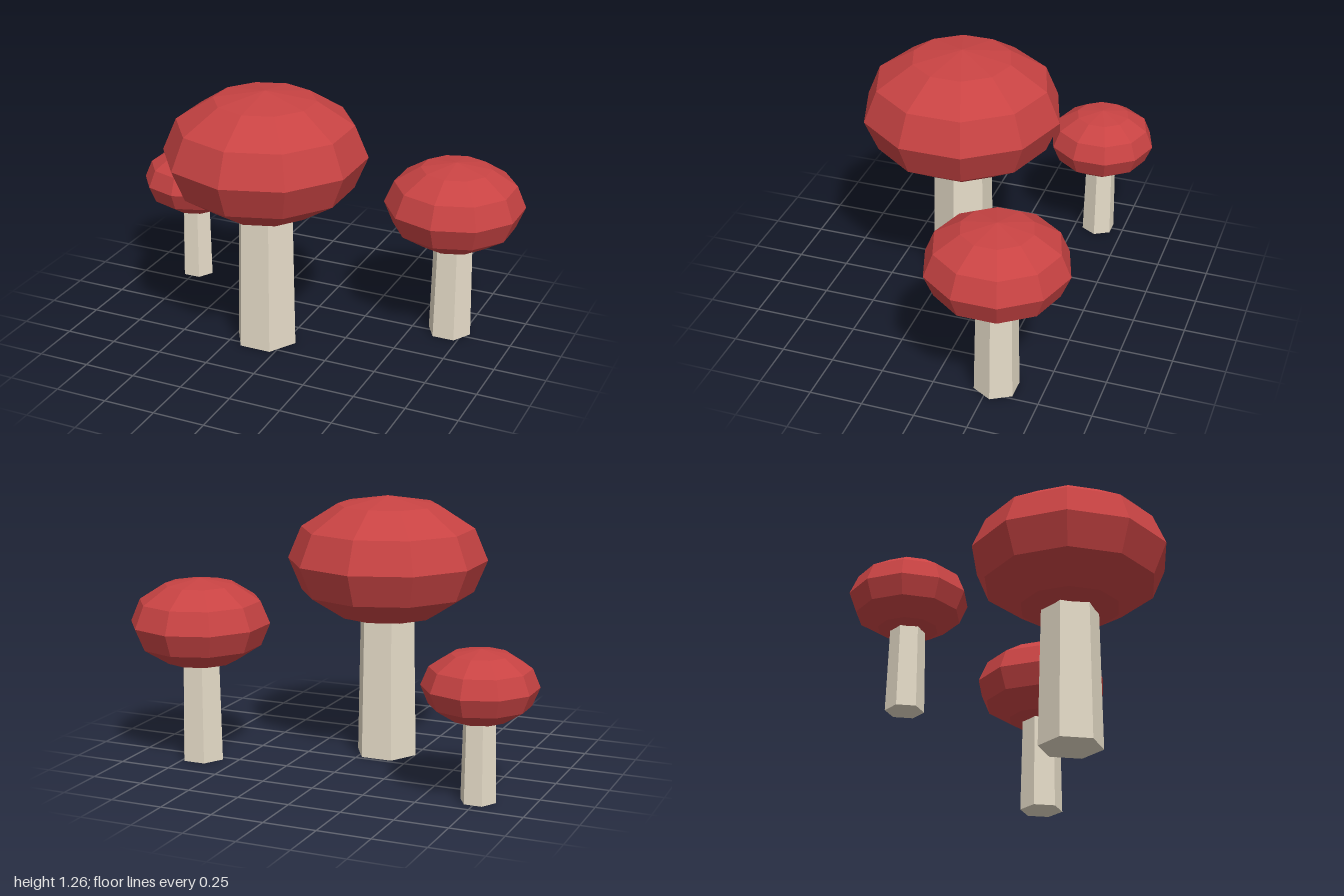
import * as THREE from 'three';

export function createModel() {
  const capRed = new THREE.MeshStandardMaterial({ color: 0xc84343 });
  const stemCream = new THREE.MeshStandardMaterial({ color: 0xe6dcc8 });
  capRed.name = 'capRed';
  stemCream.name = 'stemCream';
  capRed.flatShading = stemCream.flatShading = true;

  // Squashed ten-sided cap with corners pointing along z
  const capGeometry = new THREE.SphereGeometry(0.477, 10, 6)
    .rotateY(Math.PI / 2)
    .scale(1, 0.305 / 0.477, 1)
    .translate(0, 0.956, 0);

  // Slightly tapered hexagonal stem with corners pointing along x
  const stemGeometry = new THREE.CylinderGeometry(0.138, 0.152, 0.7, 6)
    .rotateY(Math.PI / 2)
    .translate(0, 0.35, 0);

  function mushroom(name, x, z, size) {
    const group = new THREE.Group();
    group.name = name;
    const stem = new THREE.Mesh(stemGeometry, stemCream);
    stem.name = 'stem';
    const cap = new THREE.Mesh(capGeometry, capRed);
    cap.name = 'cap';
    group.add(stem, cap);
    group.position.set(x, 0, z);
    group.scale.setScalar(size);
    return group;
  }

  // Three copies of one mushroom at different sizes
  const model = new THREE.Group();
  model.name = 'mushroomCluster';
  model.add(
    mushroom('largeMushroom', -0.1, 0.151, 1),
    mushroom('mediumMushroom', 0.68, -0.282, 0.7),
    mushroom('smallMushroom', -0.75, -0.368, 0.55)
  );
  return model;
}
